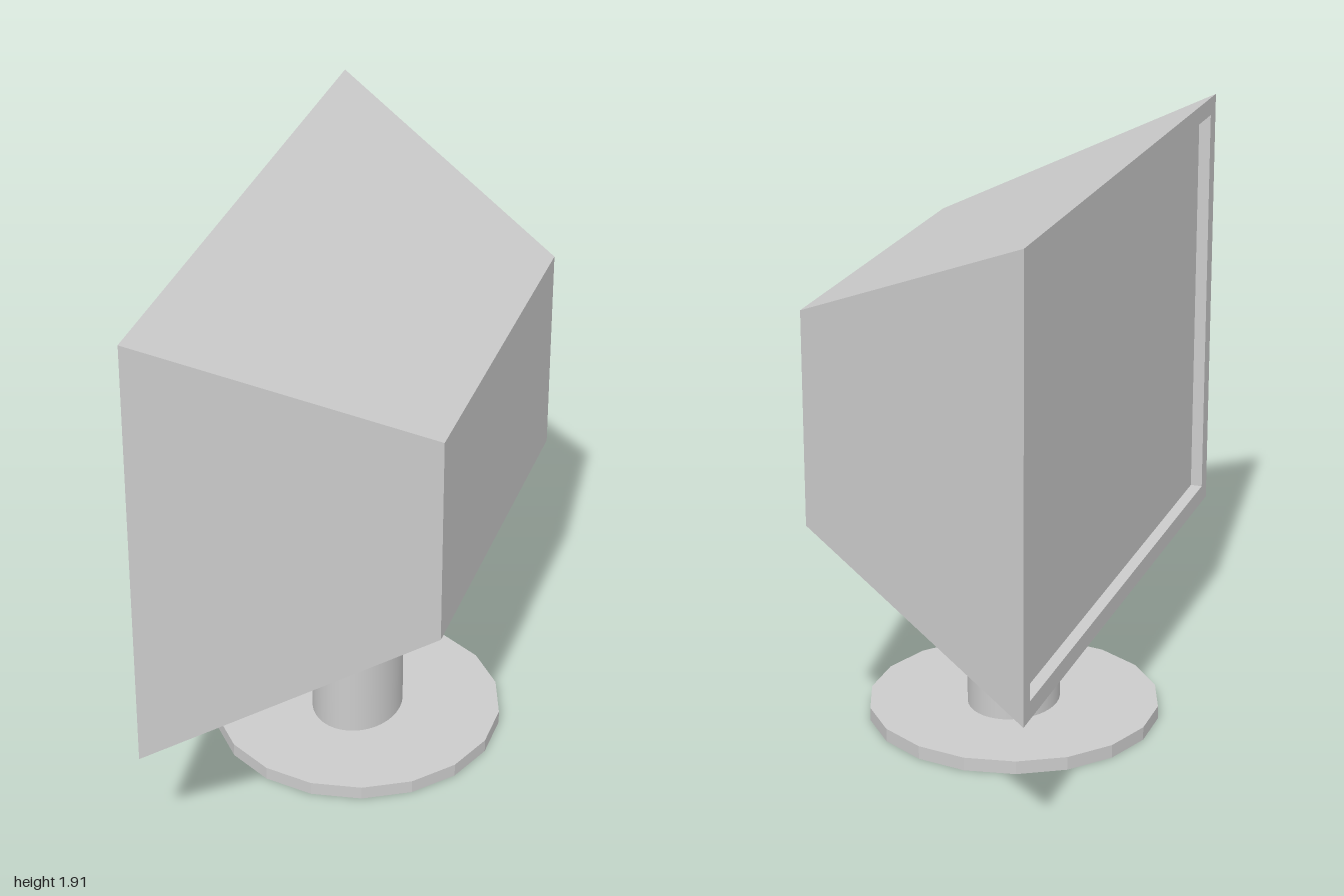
import * as THREE from 'three';

const grey = (extra = {}) => new THREE.MeshStandardMaterial({ color: 0xcccccc, ...extra });

function addMesh(group, name, geometry, material) {
  const mesh = new THREE.Mesh(geometry, material);
  mesh.name = name;
  group.add(mesh);
  return mesh;
}

// Rectangular rings [x, centre y, half height, half depth] joined from +x onwards, first ring capped
function loftRectangles(rings) {
  const loops = rings.map(([x, cy, h, d]) =>
    [[-h, d], [-h, -d], [h, -d], [h, d]].map(([y, z]) => [x, cy + y, z]));
  const points = [];
  const quad = (a, b, c, d) => points.push(...a, ...b, ...c, ...a, ...c, ...d);
  quad(...loops[0]);
  for (let r = 0; r < loops.length - 1; r++) {
    const A = loops[r], B = loops[r + 1];
    for (let i = 0; i < 4; i++) {
      const j = (i + 1) % 4;
      quad(A[i], B[i], B[j], A[j]);
    }
  }
  const geometry = new THREE.BufferGeometry();
  geometry.setAttribute('position', new THREE.Float32BufferAttribute(points, 3));
  geometry.computeVertexNormals();
  return geometry;
}

export function createModel() {
  const model = new THREE.Group();
  model.name = 'monitor';

  // Tapered housing, with bezel and recess on the wide end
  const backX = -0.375, bezel = 0.06, recessX = backX + 0.04;
  const midY = 1.176, halfH = 0.735, halfD = 1;
  addMesh(model, 'housing', loftRectangles([
    [0.477, 1.178, 0.352, 0.615],
    [backX, midY, halfH, halfD],
    [backX, midY, halfH - bezel, halfD - bezel],
    [recessX, midY, halfH - bezel, halfD - bezel],
  ]), grey({ flatShading: true }));

  // Recessed screen facing -x
  const screen = new THREE.PlaneGeometry(2 * (halfD - bezel), 2 * (halfH - bezel));
  screen.rotateY(-Math.PI / 2).translate(recessX, midY, 0);
  addMesh(model, 'screen', screen, grey());

  // Oval hollow stem, its top cut to the slope of the housing's underside
  const standZ = -0.013, rx = 0.151, rz = 0.182, baseHeight = 0.045;
  const stem = new THREE.CylinderGeometry(1, 1, 1, 40, 1, true);
  stem.scale(rx, 1, rz);
  const p = stem.attributes.position;
  for (let i = 0; i < p.count; i++) {
    const underside = 0.441 + (p.getX(i) - backX) * 0.452;
    p.setY(i, p.getY(i) > 0 ? underside + 0.005 : 0.01);
  }
  stem.translate(0, 0, standZ);
  addMesh(model, 'stem', stem, grey({ side: THREE.DoubleSide }));

  // Eighteen-sided base plate with an oval hole under the stem
  const sides = 18, radius = 0.486;
  const outline = new THREE.Shape(Array.from({ length: sides }, (_, i) => {
    const a = (i + 0.5) * 2 * Math.PI / sides;
    return new THREE.Vector2(radius * Math.cos(a), radius * Math.sin(a));
  }));
  outline.holes.push(new THREE.Path().absellipse(0, 0, rx, rz, 0, Math.PI * 2, true));
  const base = new THREE.ExtrudeGeometry(outline, { depth: baseHeight, bevelEnabled: false, curveSegments: 20 });
  base.rotateX(-Math.PI / 2).translate(0, 0, standZ);
  addMesh(model, 'base', base, grey({ flatShading: true }));

  return model;
}
